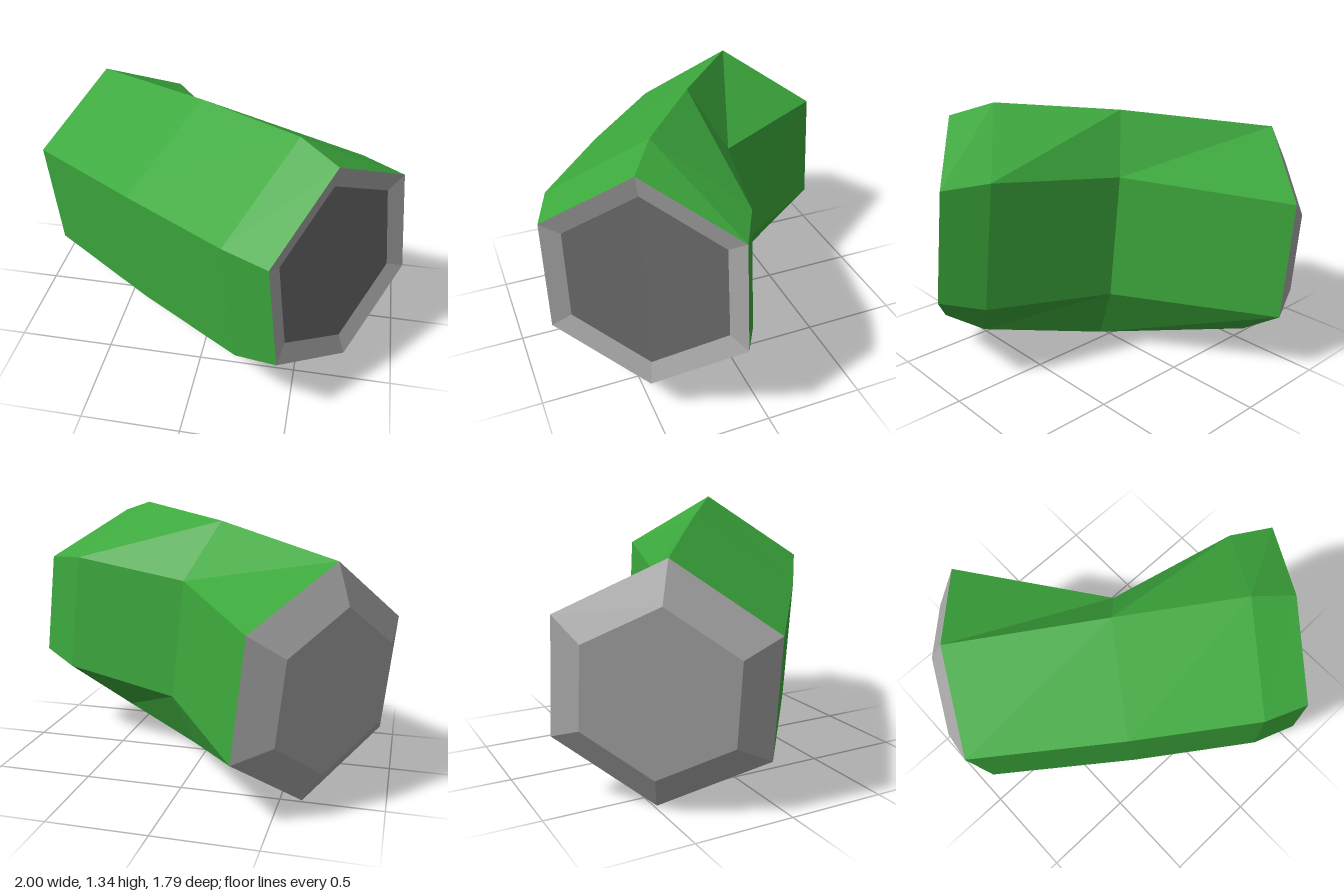
import * as THREE from 'three';

const green = new THREE.MeshStandardMaterial({ name: 'green', color: 0x3ca83c });
const grey = new THREE.MeshStandardMaterial({ name: 'lightGrey', color: 0xa6a6a6 });
const darkGrey = new THREE.MeshStandardMaterial({ name: 'darkGrey', color: 0x696969 });

// Hexagonal cross-sections, from the back end to the front end
const backEnd = [[-0.735, 1.175, -0.485], [-0.405, 0.915, -0.895], [-0.34, 0.33, -0.895],
  [-0.605, 0.005, -0.485], [-0.94, 0.265, -0.075], [-1, 0.85, -0.075]];
const elbow = [[-0.08, 1.285, 0], [0.08, 0.99, -0.165], [0.145, 0.36, -0.165],
  [0.07, 0.04, 0], [-0.305, 0.32, 0.42], [-0.37, 0.94, 0.42]];
const shoulder = [[0.445, 1.34, 0.38], [0.735, 1.06, 0.012], [0.805, 0.43, 0.012],
  [0.585, 0.095, 0.38], [0.235, 0.375, 0.81], [0.165, 1, 0.81]];
const frontEnd = [[0.63, 1.28, 0.51], [0.94, 1.04, 0.125], [1, 0.49, 0.125],
  [0.745, 0.19, 0.51], [0.44, 0.435, 0.895], [0.385, 0.98, 0.895]];

const axis = [0.804, 0.087, 0.588];

// Shrinks a ring about its centre and slides it along the axis
function inset(ring, scale, slide) {
  const centre = [0, 1, 2].map(k => ring.reduce((sum, p) => sum + p[k], 0) / ring.length);
  return ring.map(p => p.map((v, k) => centre[k] + (v - centre[k]) * scale + axis[k] * slide));
}

function flatMesh(name, triangles, material) {
  const geometry = new THREE.BufferGeometry();
  geometry.setAttribute('position', new THREE.Float32BufferAttribute(triangles.flat(), 3));
  geometry.computeVertexNormals();
  const mesh = new THREE.Mesh(geometry, material);
  mesh.name = name;
  return mesh;
}

// Flat-faced skin through a list of rings
function loft(name, rings, material) {
  const out = [];
  for (let j = 0; j < rings.length - 1; j++) {
    const r = rings[j], s = rings[j + 1];
    for (let i = 0; i < 6; i++) {
      const n = (i + 1) % 6;
      out.push(r[i], s[i], s[n], r[i], s[n], r[n]);
    }
  }
  return flatMesh(name, out, material);
}

function cap(name, ring, material, facesFront) {
  const out = [];
  for (let i = 1; i < 5; i++) {
    out.push(ring[0], ...(facesFront ? [ring[i + 1], ring[i]] : [ring[i], ring[i + 1]]));
  }
  return flatMesh(name, out, material);
}

export function createModel() {
  const model = new THREE.Group();
  model.name = 'bentHexTube';
  const backTip = inset(backEnd, 0.69, -0.1);
  const frontFloor = inset(frontEnd, 0.805, -0.03);

  model.add(
    loft('body', [backEnd, elbow, shoulder, frontEnd], green),
    // Raised bevelled plug at the back
    loft('backBevel', [backTip, backEnd], grey),
    cap('backCap', backTip, grey, false),
    // Shallow recess at the front
    loft('frontRim', [frontEnd, frontFloor], grey),
    cap('frontPanel', frontFloor, darkGrey, true),
  );
  return model;
}
